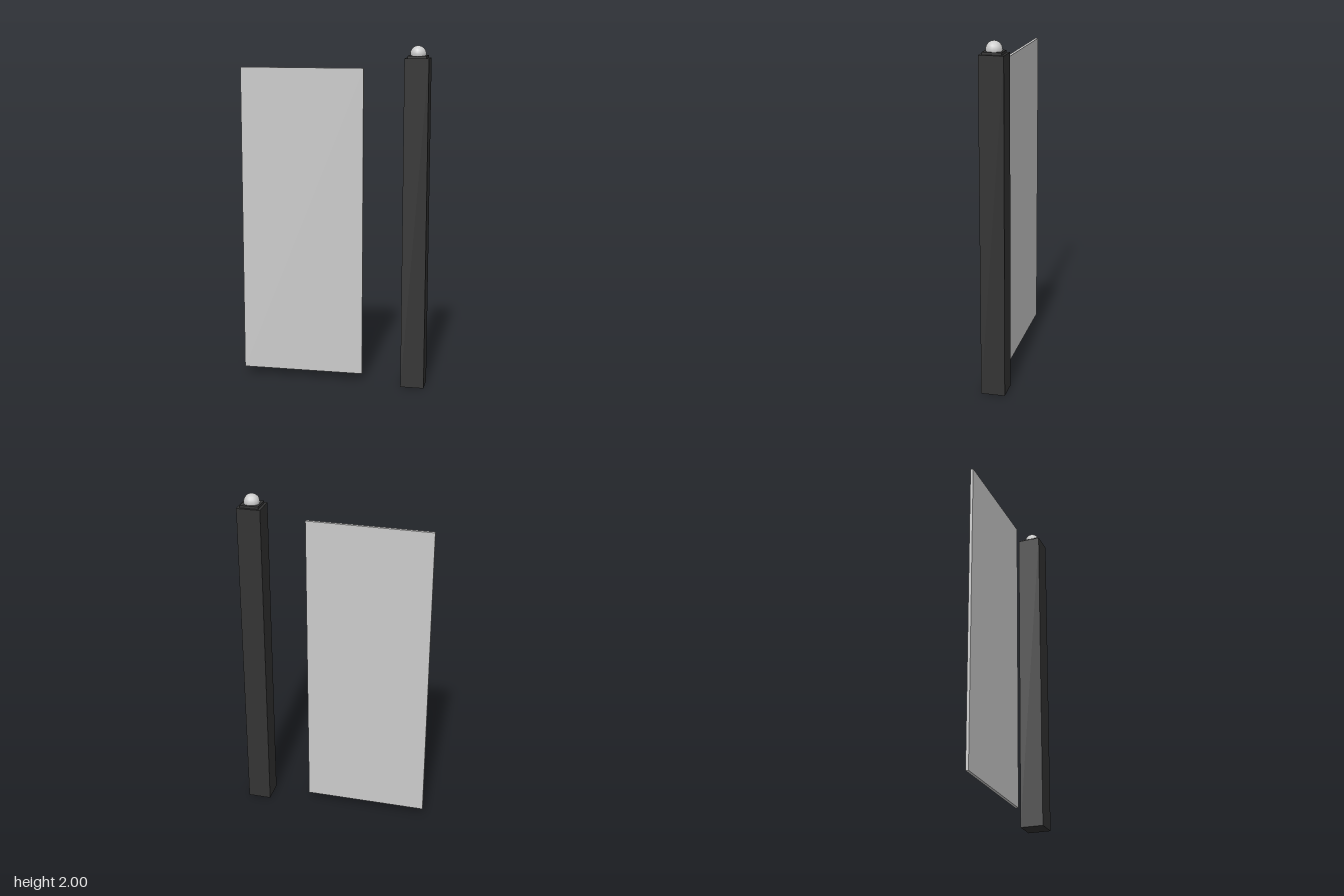
import * as THREE from 'three';

const grey = new THREE.MeshStandardMaterial({ color: 0xcccccc });
const dark = new THREE.MeshStandardMaterial({ color: 0x333333 });

export function createModel() {
  const model = new THREE.Group();

  const add = (parent, name, geometry, material, x, y, z) => {
    const mesh = new THREE.Mesh(geometry, material);
    mesh.name = name;
    mesh.position.set(x, y, z);
    parent.add(mesh);
  };

  // Thin panel raised off the ground
  add(model, 'panel', new THREE.BoxGeometry(0.728, 1.826, 0.017), grey, -0.191, 0.957, -0.002);

  // Square post with a stepped cap and a ball finial
  const post = new THREE.Group();
  post.name = 'post';
  post.position.set(0.484, 0, -0.001);
  add(post, 'postShaft', new THREE.BoxGeometry(0.138, 1.93, 0.138), dark, 0, 0.965, 0);
  add(post, 'postCap', new THREE.BoxGeometry(0.108, 0.014, 0.108), dark, 0, 1.937, 0);
  add(post, 'ballFinial', new THREE.SphereGeometry(0.047, 12, 12), grey, 0, 1.953, 0);
  model.add(post);

  return model;
}
